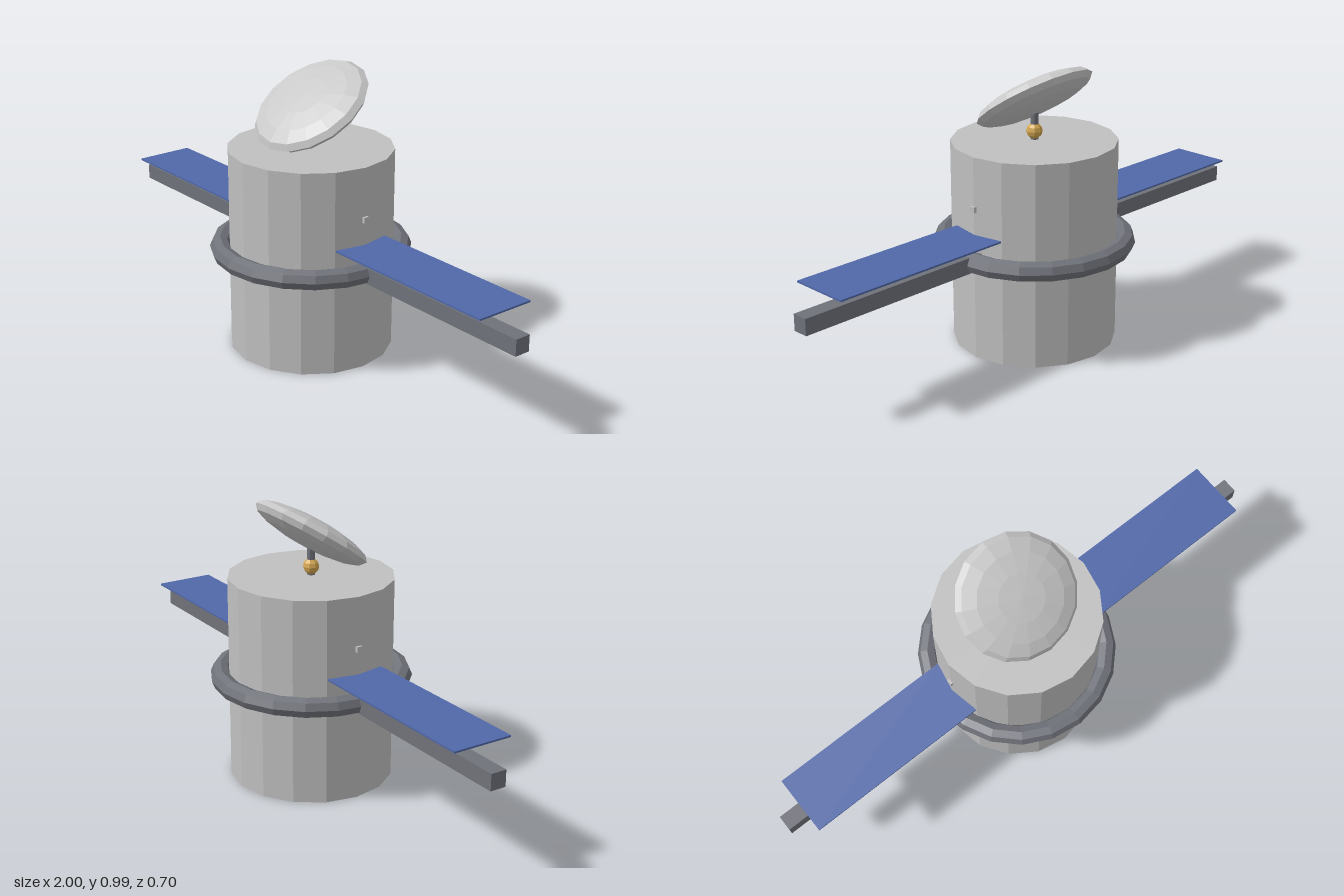
import * as THREE from 'three';

function flat(name, color) {
  const m = new THREE.MeshStandardMaterial({ color });
  m.name = name;
  m.flatShading = true;
  return m;
}

export function createModel() {
  const root = new THREE.Group();
  root.name = 'satellite';
  const hull = flat('hull grey', 0xc0c0c0);
  const dishGrey = flat('dish light grey', 0xc8c8c8);
  const dark = flat('dark grey', 0x70727a);
  const blue = flat('solar blue', 0x5068a8);
  const gold = flat('gold', 0xd4a750);

  const add = (name, geometry, material, x, y, z) => {
    const mesh = new THREE.Mesh(geometry, material);
    mesh.name = name;
    mesh.position.set(x, y, z);
    root.add(mesh);
    return mesh;
  };

  // Drum body, the ring around it and the beam through it
  add('body', new THREE.CylinderGeometry(0.285, 0.285, 0.716, 16), hull, 0, 0.358, 0);
  add('ring', new THREE.TorusGeometry(0.314, 0.035, 8, 20), dark, 0, 0.36, 0).rotation.x = Math.PI / 2;
  add('beam', new THREE.BoxGeometry(2, 0.056, 0.056), dark, 0, 0.358, 0);

  // Solar panel and small sensor on each side
  for (const side of [-1, 1]) {
    const label = side > 0 ? 'left' : 'right';
    add(label + 'SolarPanel', new THREE.BoxGeometry(0.66, 0.006, 0.213), blue, side * 0.595, 0.444, 0);
    add(label + 'Sensor', new THREE.BoxGeometry(0.02, 0.02, 0.02), hull, side * 0.283, 0.537, 0);
  }

  // Antenna: mast, ball joint and tilted lens-shaped dish
  add('mast', new THREE.CylinderGeometry(0.014, 0.014, 0.12, 8), dark, 0, 0.77, 0);
  add('ballJoint', new THREE.SphereGeometry(0.028, 8, 6), gold, 0, 0.745, 0);
  const dish = add('dish', new THREE.SphereGeometry(1, 16, 8), dishGrey, 0, 0.86, 0);
  dish.scale.set(0.212, 0.05, 0.212);
  dish.rotation.x = 0.6;

  return root;
}
